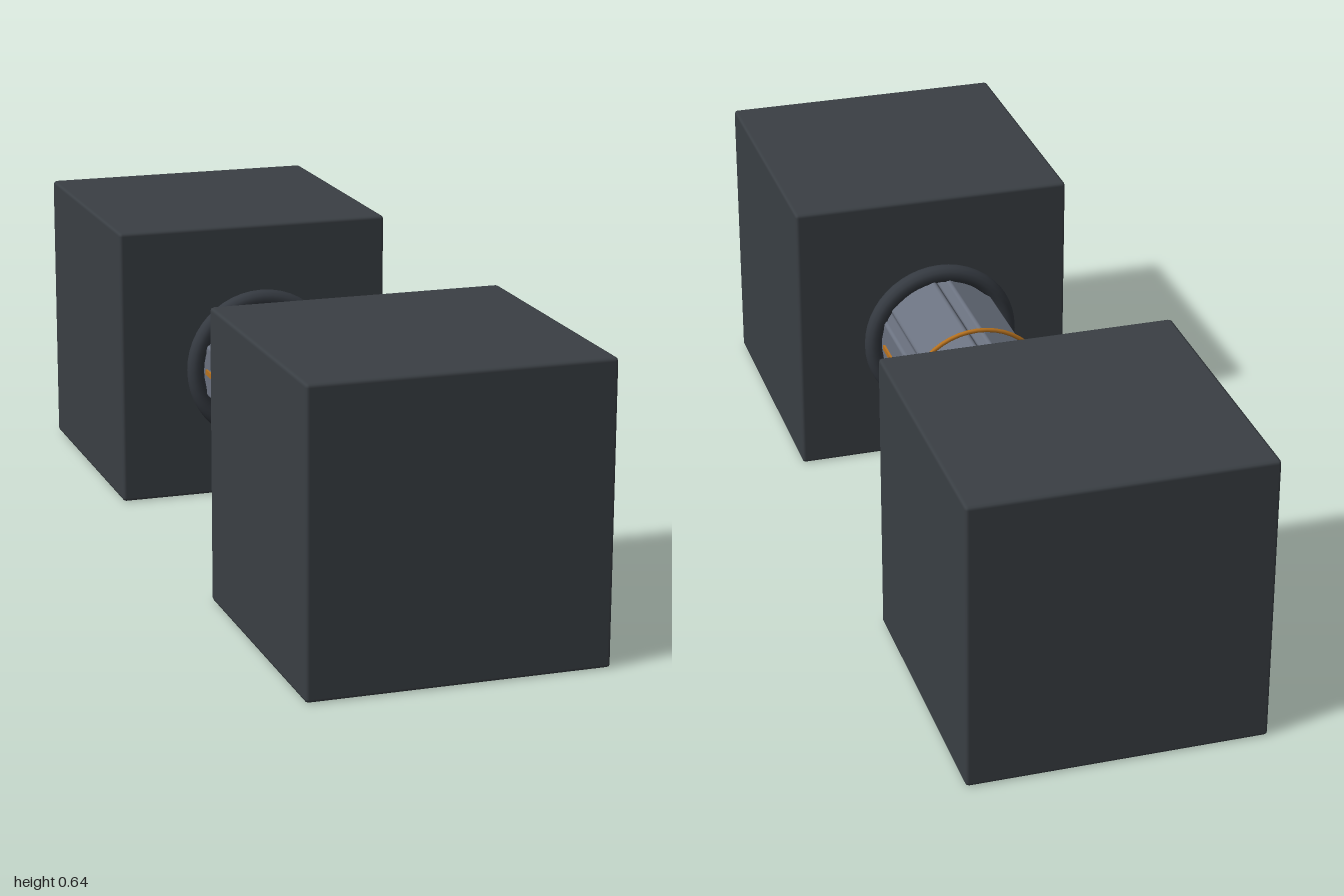
import * as THREE from 'three';
import { RoundedBoxGeometry } from 'three/addons/geometries/RoundedBoxGeometry.js';

const AXIS_Y = 0.32; // height of the handle axis

function material(name, color) {
  const m = new THREE.MeshStandardMaterial({ color });
  m.name = name;
  return m;
}

export function createModel() {
  const model = new THREE.Group();
  model.name = 'dumbbell';

  const charcoal = material('charcoal', 0x3a3f44);
  const darkSteel = material('dark steel', 0x353a41);
  const greySteel = material('grey steel', 0x6b7280);
  const copper = material('copper', 0xb87320);

  const handle = new THREE.Group();
  handle.name = 'handle';
  handle.position.y = AXIS_Y;
  model.add(handle);

  function add(parent, name, geometry, mat, x = 0, y = 0, z = 0) {
    const mesh = new THREE.Mesh(geometry, mat);
    mesh.name = name;
    mesh.position.set(x, y, z);
    parent.add(mesh);
    return mesh;
  }

  // Cube weights and clamp rings at both ends
  const cube = new RoundedBoxGeometry(0.64, 0.64, 0.64, 1, 0.008);
  const clamp = new THREE.TorusGeometry(0.16, 0.02, 12, 48);
  for (const side of [1, -1]) {
    const end = side > 0 ? 'front' : 'back';
    add(model, end + 'Weight', cube, charcoal, 0, AXIS_Y, side * 0.68);
    add(handle, end + 'ClampRing', clamp, darkSteel, 0, 0, side * 0.3);
  }

  // Dark core seen in the grooves between the grip panels
  const core = new THREE.CylinderGeometry(0.12, 0.12, 0.73, 32).rotateX(Math.PI / 2);
  add(handle, 'core', core, darkSteel);

  // Six flat grip panels around the core
  const panel = new RoundedBoxGeometry(0.034, 0.122, 0.716, 2, 0.008);
  for (let i = 0; i < 6; i++) {
    const a = (i * Math.PI) / 3;
    const mesh = add(handle, 'gripPanel', panel, greySteel, Math.cos(a) * 0.12, Math.sin(a) * 0.12, 0);
    mesh.rotation.z = a;
  }

  // Copper strips along the side panels and the hoop around the middle
  const strip = new THREE.BoxGeometry(0.008, 0.012, 0.56);
  add(handle, 'leftStrip', strip, copper, 0.138, 0, 0);
  add(handle, 'rightStrip', strip, copper, -0.138, 0, 0);
  add(handle, 'middleHoop', new THREE.TorusGeometry(0.16, 0.005, 8, 48), copper);

  return model;
}
